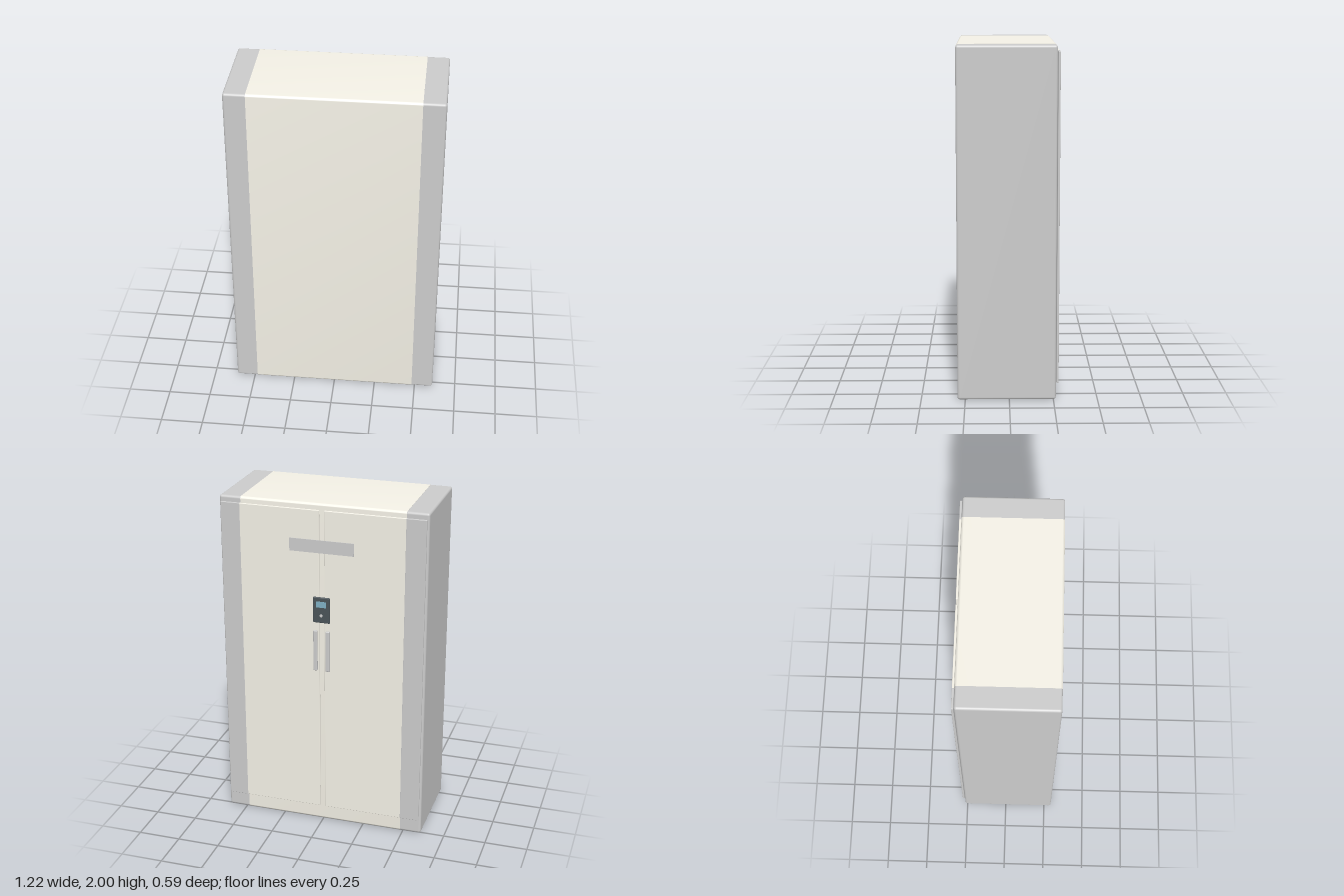
import * as THREE from 'three';
import { RoundedBoxGeometry } from 'three/addons/geometries/RoundedBoxGeometry.js';
import { toCreasedNormals } from 'three/addons/utils/BufferGeometryUtils.js';

const mat = (color) => new THREE.MeshStandardMaterial({ color });
const grey = mat(0xcccccc), cream = mat(0xf4f1e6), dark = mat(0x4a5358);
const glass = mat(0x7fb0c4), white = mat(0xf0f0f0);

// Place a mesh by its centre
function add(parent, name, geometry, material, x, y, z) {
  const mesh = new THREE.Mesh(geometry, material);
  mesh.name = name;
  mesh.position.set(x, y, z);
  parent.add(mesh);
  return mesh;
}

// Rounded rectangle in z/y, swept along x
function wrapGeometry(width, height, depth, r) {
  const w = depth / 2, h = height / 2, s = new THREE.Shape();
  s.absarc(w - r, h - r, r, 0, Math.PI / 2);
  s.absarc(-w + r, h - r, r, Math.PI / 2, Math.PI);
  s.absarc(-w + r, -h + r, r, Math.PI, Math.PI * 1.5);
  s.absarc(w - r, -h + r, r, Math.PI * 1.5, Math.PI * 2);
  const g = new THREE.ExtrudeGeometry(s, { depth: width, bevelEnabled: false, curveSegments: 5 });
  g.translate(0, 0, -width / 2).rotateY(Math.PI / 2);
  return toCreasedNormals(g, 0.6);
}

export function createModel() {
  const cabinet = new THREE.Group();
  cabinet.name = 'cabinet';

  // Body with a cream band over its middle
  add(cabinet, 'body', new RoundedBoxGeometry(1.22, 1.998, 0.558, 4, 0.014), grey, 0, 1, 0.015);
  add(cabinet, 'creamBand', wrapGeometry(0.965, 2, 0.56, 0.014), cream, 0, 1, 0.015);

  // Doors, outer strips and handles, mirrored
  for (const side of [-1, 1]) {
    const door = new THREE.Group();
    door.name = side > 0 ? 'leftDoor' : 'rightDoor';
    add(door, 'doorPanel', new RoundedBoxGeometry(0.583, 1.87, 0.012, 2, 0.003), cream, side * 0.3065, 1.03, -0.273);
    add(door, 'doorEdgeStrip', new RoundedBoxGeometry(0.116, 1.871, 0.013, 2, 0.003), grey, side * 0.5405, 1.03, -0.273);
    add(door, 'handle', new RoundedBoxGeometry(0.024, 0.25, 0.016, 3, 0.005), grey, side * 0.037, 1.125, -0.286);
    cabinet.add(door);
  }

  // Sign plate across both doors
  add(cabinet, 'signPlate', new THREE.BoxGeometry(0.378, 0.075, 0.004), grey, 0, 1.755, -0.281);

  // Lock unit with screen and button
  const lock = new THREE.Group();
  lock.name = 'lock';
  add(lock, 'lockBase', new RoundedBoxGeometry(0.1, 0.155, 0.012, 3, 0.005), dark, 0, 1.378, -0.285);
  add(lock, 'lockScreen', new THREE.BoxGeometry(0.058, 0.036, 0.003), glass, 0, 1.413, -0.2915);
  const button = new THREE.CylinderGeometry(0.008, 0.01, 0.005, 20).rotateX(-Math.PI / 2);
  add(lock, 'lockButton', button, white, 0, 1.345, -0.2925);
  cabinet.add(lock);

  return cabinet;
}
